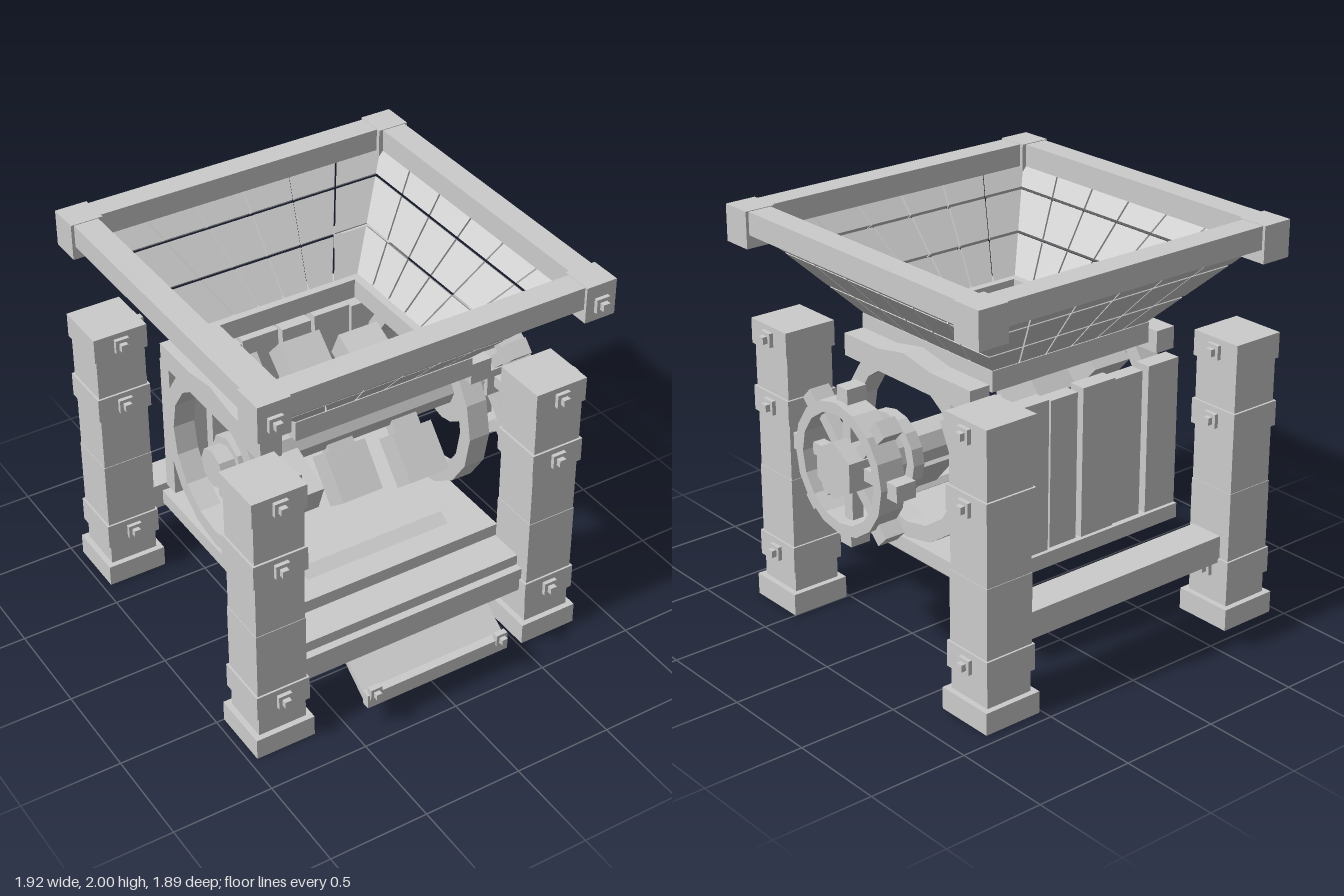
import * as THREE from 'three';

const stone = new THREE.MeshStandardMaterial({ color: 0xcccccc });
stone.name = 'plain grey';
stone.flatShading = true;

const AX_Y = 1.0, AX_Z = -0.04; // rotor axis
const CX = -0.04, CZ = -0.04;   // hopper centre

export function createModel() {
  const root = new THREE.Group();
  root.name = 'crusherMachine';

  const group = (name) => {
    const g = new THREE.Group();
    g.name = name;
    root.add(g);
    return g;
  };
  const add = (parent, name, geo) => {
    const m = new THREE.Mesh(geo, stone);
    m.name = name;
    parent.add(m);
    return m;
  };
  // box from min/max extents
  const box = (parent, name, x0, x1, y0, y1, z0, z1) => {
    const m = add(parent, name, new THREE.BoxGeometry(x1 - x0, y1 - y0, z1 - z0));
    m.position.set((x0 + x1) / 2, (y0 + y1) / 2, (z0 + z1) / 2);
    return m;
  };
  // square plate with a nut; faces +z, or +x when side is true
  const bolt = (parent, x, y, z, side = false, s = 0.07) => {
    const b = new THREE.Group();
    b.name = 'bolt';
    box(b, 'boltPlate', -s / 2, s / 2, -s / 2, s / 2, -0.01, 0.02);
    box(b, 'boltNut', -s / 4, s / 4, -s / 4, s / 4, 0.02, 0.045);
    b.position.set(x, y, z);
    if (side) b.rotation.y = Math.PI / 2;
    parent.add(b);
  };
  // cylinder along x on the rotor axis
  const rod = (parent, name, r, x0, x1, sides) => {
    const geo = new THREE.CylinderGeometry(r, r, x1 - x0, sides, 1, false, Math.PI / 2);
    const m = add(parent, name, geo.rotateZ(Math.PI / 2));
    m.position.set((x0 + x1) / 2, AX_Y, AX_Z);
  };
  // square-section ring along x on the rotor axis
  const ring = (parent, name, ri, ro, x0, x1, sides) => {
    const h = (x1 - x0) / 2;
    const pts = [[ri, -h], [ro, -h], [ro, h], [ri, h], [ri, -h]].map((p) => new THREE.Vector2(...p));
    const m = add(parent, name, new THREE.LatheGeometry(pts, sides).rotateZ(Math.PI / 2));
    m.position.set((x0 + x1) / 2, AX_Y, AX_Z);
  };
  // box set radially around the rotor axis; angle runs from +z towards +y
  const radialBox = (parent, name, x0, x1, r, len, wide, angle) => {
    const m = add(parent, name, new THREE.BoxGeometry(x1 - x0, wide, len));
    m.position.set((x0 + x1) / 2, AX_Y + Math.sin(angle) * r, AX_Z + Math.cos(angle) * r);
    m.rotation.x = -angle;
  };

  // Posts: foot, shaft blocks, bands with bolts
  for (const px of [-0.807, 0.67]) {
    for (const pz of [0.653, -0.787]) {
      const post = group('cornerPost');
      const block = (name, h, y0, y1) => box(post, name, px - h, px + h, y0, y1, pz - h, pz + h);
      block('foot', 0.153, 0, 0.11);
      block('shaftBlock', 0.124, 0.11, 0.22);
      block('shaftBlock', 0.128, 0.35, 0.7);
      block('shaftBlock', 0.125, 0.7, 0.985);
      block('shaftBlock', 0.127, 1.11, 1.325);
      for (const [y0, y1] of [[0.22, 0.35], [0.985, 1.11], [1.325, 1.45]]) {
        block('band', 0.138, y0, y1);
        const y = (y0 + y1) / 2;
        bolt(post, px, y, pz + 0.138);
        bolt(post, px + 0.138, y, pz, true);
      }
    }
  }

  // Table and cross beams
  const base = group('base');
  box(base, 'table', -0.68, 0.55, 0.455, 0.53, -0.56, 0.52);
  box(base, 'frontBeam', -0.68, 0.55, 0.285, 0.41, 0.56, 0.74);
  box(base, 'frontBeamTop', -0.68, 0.55, 0.41, 0.465, 0.52, 0.7);
  box(base, 'backBeam', -0.68, 0.55, 0.33, 0.465, -0.86, -0.68);

  // Sloping chute with a lip
  const chute = group('chute');
  const dz = 0.57, dy = -0.4;
  const plank = add(chute, 'chutePlank', new THREE.BoxGeometry(0.78, 0.035, Math.hypot(dz, dy)));
  plank.position.set(CX, 0.355, 0.61);
  plank.rotation.x = Math.atan2(-dy, dz);
  box(chute, 'chuteLip', -0.43, 0.35, 0.13, 0.205, 0.865, 0.91);
  for (const x of [-0.39, 0.31]) bolt(chute, x, 0.21, 0.9, false, 0.06);

  // Back wall of upright boards
  const wall = group('backWall');
  [[-0.65, -0.46], [-0.43, -0.255], [-0.25, -0.055], [-0.03, 0.13], [0.15, 0.345], [0.36, 0.53]]
    .forEach(([x0, x1], i) => box(wall, 'wallBoard', x0, x1, 0.55, i % 2 ? 1.28 : 1.295,
      i % 2 ? -0.56 : -0.57, -0.485));

  // Side rings with gabled caps
  for (const x of [-0.62, 0.5]) {
    const side = group('sideFrame');
    ring(side, 'sideRing', 0.375, 0.455, x - 0.055, x + 0.055, 16);
    const cap = new THREE.Shape([[0.405, 1.315], [0.405, 1.425], [0.15, 1.425], [-0.04, 1.46],
      [-0.23, 1.425], [-0.51, 1.425], [-0.51, 1.315]].map((p) => new THREE.Vector2(...p)));
    const geo = new THREE.ExtrudeGeometry(cap, { depth: 0.11, bevelEnabled: false });
    add(side, 'ringCap', geo.rotateY(-Math.PI / 2)).position.x = x + 0.055;
  }

  // Rotor: shaft, collars and paddles
  const rotor = group('rotor');
  rod(rotor, 'shaft', 0.1, -0.68, 0.82, 8);
  rod(rotor, 'shaftCollar', 0.14, -0.6, -0.54, 8);
  ring(rotor, 'shaftFlange', 0.09, 0.2, 0.6, 0.66, 16);
  rod(rotor, 'shaftCollar', 0.15, 0.66, 0.74, 12);
  const deg = Math.PI / 180;
  for (const [x, a, ra, b, rb] of [
    [-0.4, 133, 0.31, -20, 0.22], [-0.04, 138, 0.31, -50, 0.24], [0.32, 155, 0.27, -48, 0.27]]) {
    for (const [angle, r] of [[a, ra], [b, rb]]) {
      radialBox(rotor, 'paddleArm', x - 0.07, x + 0.07, r / 2, r, 0.08, angle * deg);
      radialBox(rotor, 'paddle', x - 0.11, x + 0.11, r, 0.25, 0.15, angle * deg);
    }
  }

  // Toothed wheel on the left end
  const wheel = group('toothedWheel');
  ring(wheel, 'wheelRim', 0.265, 0.32, 0.8, 0.935, 16);
  rod(wheel, 'wheelHub', 0.14, 0.78, 0.96, 6);
  for (let i = 0; i < 8; i++) {
    radialBox(wheel, 'tooth', 0.795, 0.9, 0.34, 0.09, 0.08, i * Math.PI / 4);
    radialBox(wheel, 'spoke', 0.82, 0.88, 0.19, 0.17, 0.06, i * Math.PI / 4);
  }

  // Hopper collar, rim and corner blocks
  const hopper = group('hopper');
  const frame = (name, ri, ro, y0, y1) => {
    for (const s of [-1, 1]) {
      const c = (ri + ro) / 2 * s, h = (ro - ri) / 2;
      box(hopper, name, CX - ro, CX + ro, y0, y1, CZ + c - h, CZ + c + h);
      box(hopper, name, CX + c - h, CX + c + h, y0, y1, CZ - ri, CZ + ri);
    }
  };
  frame('hopperCollar', 0.37, 0.47, 1.385, 1.485);
  frame('hopperRim', 0.77, 0.893, 1.885, 1.997);
  for (const sx of [-1, 1]) {
    for (const sz of [-1, 1]) {
      const x = CX + sx * 0.828, z = CZ + sz * 0.828;
      box(hopper, 'rimCorner', x - 0.08, x + 0.08, 1.82, 2, z - 0.08, z + 0.08);
      if (sz > 0) bolt(hopper, x, 1.9, z + 0.08);
    }
  }

  // Sloping hopper boards with open gaps, six by three on each side
  const rows = [0, 0.39, 0.79, 1.02], gap = 0.005;
  for (let side = 0; side < 4; side++) {
    const wallGroup = new THREE.Group();
    wallGroup.name = 'hopperWall';
    wallGroup.position.set(CX, 0, CZ);
    wallGroup.rotation.y = side * Math.PI / 2;
    hopper.add(wallGroup);
    for (let r = 0; r < 3; r++) {
      for (let c = 0; c < 6; c++) {
        const geo = new THREE.BoxGeometry(1, 1, 1);
        const p = geo.attributes.position;
        for (let i = 0; i < p.count; i++) {
          const right = p.getX(i) > 0, top = p.getY(i) > 0, out = p.getZ(i) > 0;
          const t = top ? rows[r + 1] - (r < 2 ? 0.012 : 0) : rows[r] + (r > 0 ? 0.012 : 0);
          const half = 0.41 + 0.36 * t + (out ? 0.03 : 0);
          const k = c + (right ? 1 : 0);
          const inset = k === 0 || k === 6 ? 0 : right ? -gap : gap;
          p.setXYZ(i, half * (k / 3 - 1) + inset, 1.485 + 0.4 * t - (out ? 0.027 : 0), half);
        }
        geo.computeVertexNormals();
        add(wallGroup, 'hopperBoard', geo);
      }
    }
  }
  return root;
}
